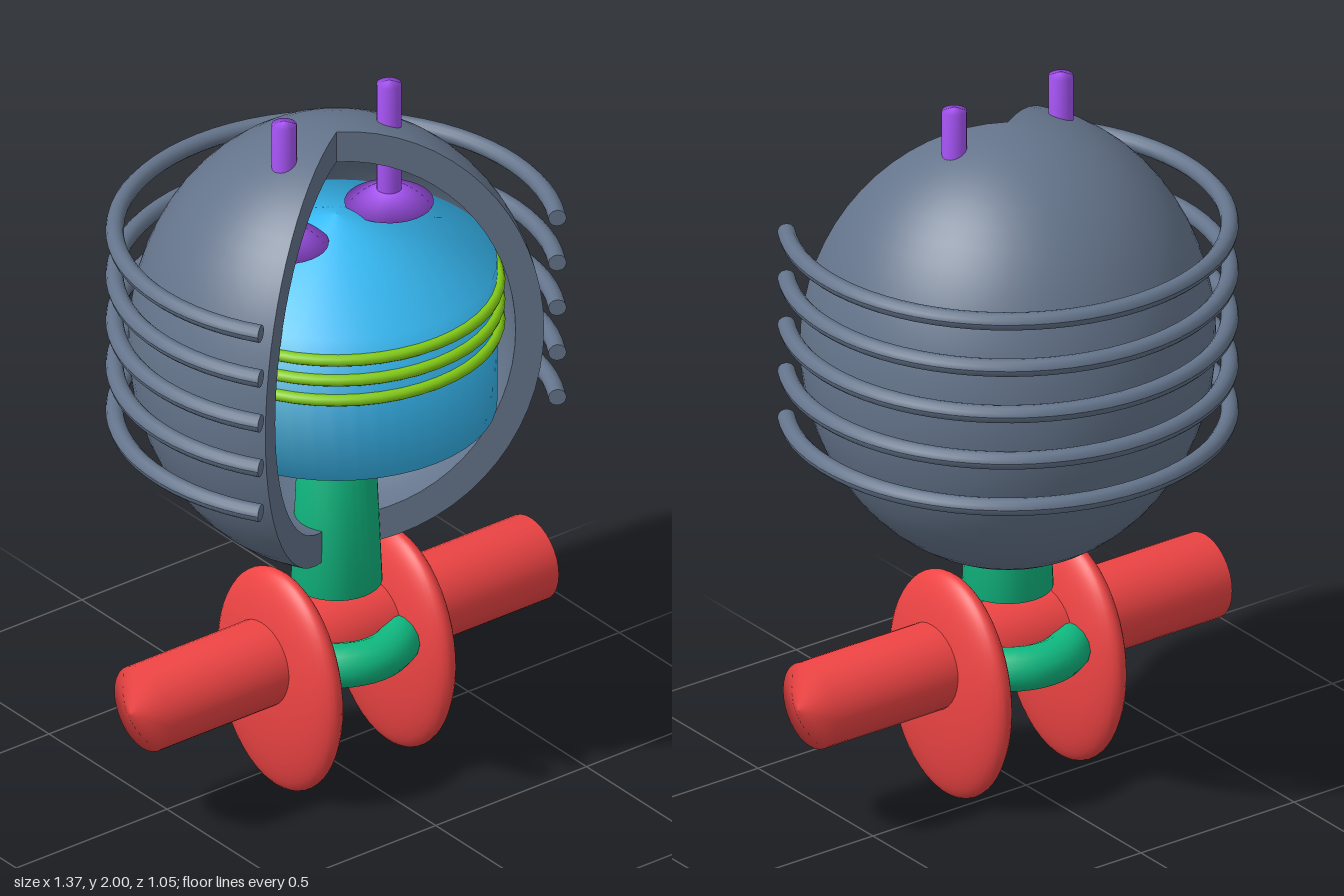
import * as THREE from 'three';

const AXIS_Z = 0.08;                       // the vertical axis all parts share
const OPEN = THREE.MathUtils.degToRad(58); // half angle of the front opening
const paint = (color, side = THREE.FrontSide) => new THREE.MeshStandardMaterial({ color, side });
const slate = paint(0x64748b), slateFace = paint(0x64748b, THREE.DoubleSide);
const blue = paint(0x38bdf8), lime = paint(0x84cc16), red = paint(0xef4444);
const green = paint(0x10b981), purple = paint(0xa855f7);

const points = (pairs) => pairs.map(([r, y]) => new THREE.Vector2(r, y));

// Half ellipse in (radius, y), from bottom pole to top pole
function halfOval(rx, ry, cy, n = 32) {
  const pts = [];
  for (let i = 0; i <= n; i++) {
    const a = -Math.PI / 2 + (i / n) * Math.PI;
    pts.push(new THREE.Vector2(Math.max(0, rx * Math.cos(a)), cy + ry * Math.sin(a)));
  }
  return pts;
}

export function createModel() {
  const model = new THREE.Group();
  const body = new THREE.Group();
  body.name = 'engine';
  body.position.z = AXIS_Z;
  model.add(body);

  function add(name, geometry, material, x = 0, y = 0, parent = body) {
    const mesh = new THREE.Mesh(geometry, material);
    mesh.name = name;
    mesh.position.set(x, y, 0);
    parent.add(mesh);
    return mesh;
  }

  // Turned part with the front wedge left out
  const cutLathe = (pts) => new THREE.LatheGeometry(pts, 48, OPEN, 2 * Math.PI - 2 * OPEN);

  // Flat faces on both sides of the wedge
  function cutFaces(name, outline, parent) {
    for (const angle of [OPEN, -OPEN]) {
      const face = add(name, new THREE.ShapeGeometry(new THREE.Shape(outline)), slateFace, 0, 0, parent);
      face.rotation.y = angle - Math.PI / 2;
    }
  }

  // Egg-shaped thick shell, open at the front
  const shell = new THREE.Group();
  shell.name = 'shell';
  body.add(shell);
  const outer = halfOval(0.545, 0.625, 1.28);
  const inner = halfOval(0.47, 0.535, 1.28).reverse();
  add('shellOuter', cutLathe(outer), slate, 0, 0, shell);
  add('shellInner', cutLathe(inner), slate, 0, 0, shell);
  cutFaces('shellCutFace', [...outer, ...inner], shell);

  // Five cooling fins around the shell
  for (let i = 0; i < 5; i++) {
    const fin = new THREE.Group();
    fin.name = 'coolingFin';
    fin.position.y = 1.07 + i * 0.135;
    body.add(fin);
    const section = [];
    for (let k = 0; k <= 12; k++) {
      const a = (k / 12) * Math.PI * 2;
      section.push(new THREE.Vector2(0.58 + 0.024 * Math.cos(a), 0.024 * Math.sin(a)));
    }
    add('finTube', cutLathe(section), slate, 0, 0, fin);
    cutFaces('finEnd', section.slice(0, -1), fin);
  }

  // Piston with conical ends and three rings
  add('piston', new THREE.LatheGeometry(points([[0, 0.96], [0.42, 1.095], [0.42, 1.52], [0, 1.66]]), 48), blue);
  for (const y of [1.34, 1.4, 1.46]) {
    add('pistonRing', new THREE.TorusGeometry(0.425, 0.016, 10, 48).rotateX(Math.PI / 2), lime, 0, y);
  }

  // Connecting rod and the ring around the crank
  add('connectingRod', new THREE.LatheGeometry(points([[0, 0.515], [0.12, 0.56], [0.1, 1.02], [0, 1.06]]), 32), green);
  add('rodRing', new THREE.TorusGeometry(0.165, 0.06, 14, 40).rotateX(Math.PI / 2), green, 0, 0.392);

  // Crankshaft lying along x, with pointed ends
  const shaft = points([[0, -0.685], [0.118, -0.645], [0.118, 0.645], [0, 0.685]]);
  add('crankshaft', new THREE.LatheGeometry(shaft, 32).rotateZ(Math.PI / 2), red, 0, 0.395);

  // Crank discs and valves, mirrored
  const valveHead = points([[0, 1.6], [0.117, 1.635], [0.033, 1.675], [0, 1.68]]);
  const valveStem = points([[0, 1.64], [0.033, 1.645], [0.033, 1.99], [0, 2]]);
  for (const side of [1, -1]) {
    const disc = new THREE.SphereGeometry(1, 40, 28).scale(0.075, 0.32, 0.249);
    add('crankDisc', disc, red, side * 0.187, 0.325);
    const valve = new THREE.Group();
    valve.name = 'valve';
    valve.position.x = side * 0.174;
    body.add(valve);
    add('valveHead', new THREE.LatheGeometry(valveHead, 32), purple, 0, 0, valve);
    add('valveStem', new THREE.LatheGeometry(valveStem, 20), purple, 0, 0, valve);
  }
  return model;
}
